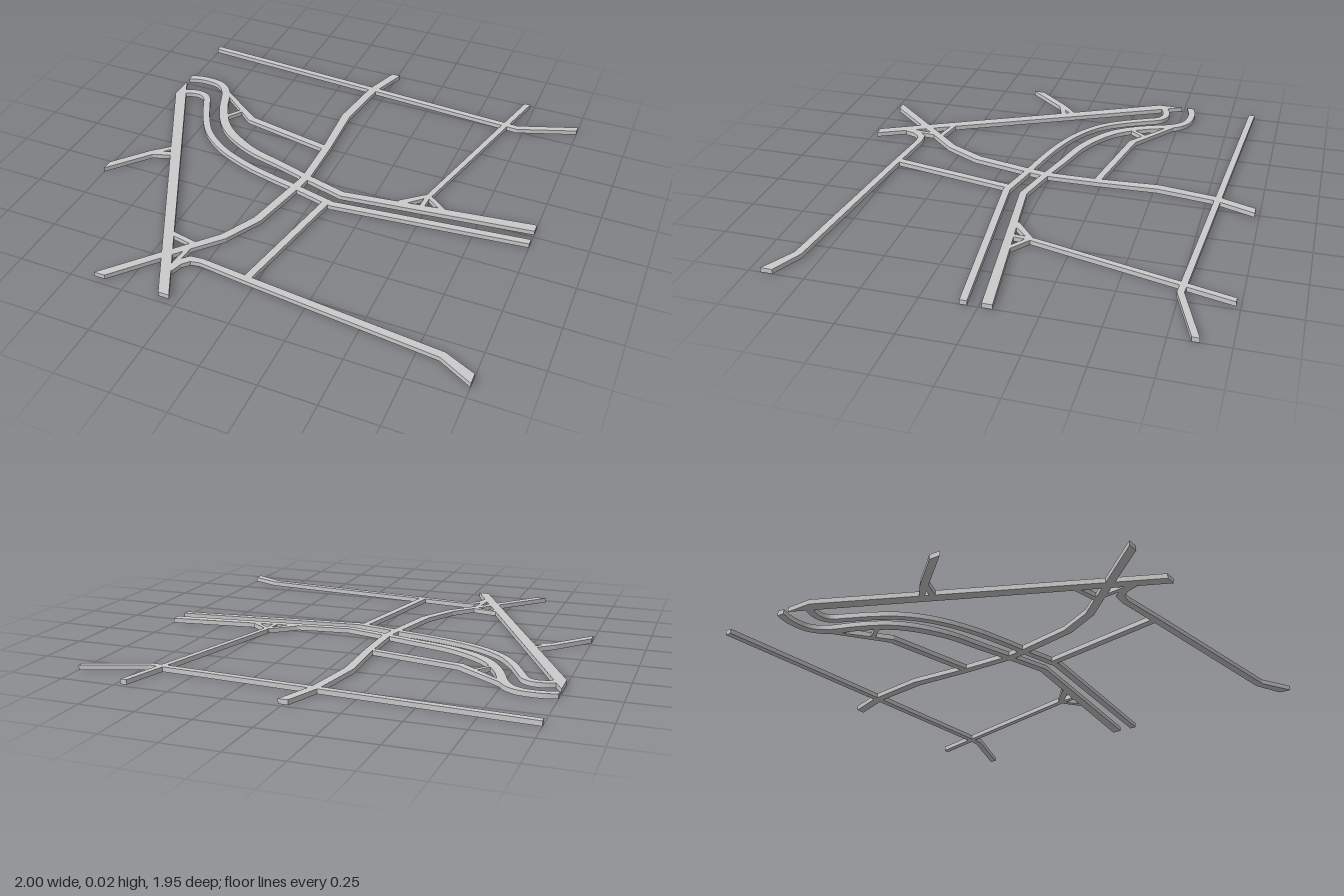
import * as THREE from 'three';

const HEIGHT = 0.022;
// edges of the map tile: [axis, sign, limit]
const BOUNDS = [[0, 1, 1], [0, -1, 1], [1, 1, 0.97], [1, -1, 0.98]];

// Each road: centre line of [x, z, width] points. Ends past the tile are trimmed.
const ROADS = {
  northRoad: [[-1.05, -0.863, 0.03], [0.72, -0.757, 0.03], [1.05, -0.878, 0.03]],
  crossTownRoad: [[0.012, -1.02, 0.042], [-0.065, -0.8, 0.04], [-0.105, -0.52, 0.043], [-0.09, -0.24, 0.038],
    [-0.088, 0.02, 0.038], [-0.105, 0.11, 0.04], [-0.165, 0.385, 0.04], [-0.25, 0.55, 0.038],
    [-0.345, 0.655, 0.036], [-0.66, 1.01, 0.038]],
  northEastRoad: [[0.725, -1.02, 0.028], [0.66, -0.76, 0.028], [0.49, -0.07, 0.026]],
  diagonalRoad: [[-1.05, -0.53, 0.055], [-0.295, 1.01, 0.045]],
  branchRoad: [[-0.76, -0.485, 0.02], [-0.535, -0.312, 0.035], [-0.1, -0.23, 0.032]],
  westSpur: [[-1.04, 0.35, 0.034], [-0.85, 0.13, 0.034], [-0.77, 0.05, 0.02]],
  southRoad: [[-0.365, 0.83, 0.03], [-0.35, 0.775, 0.034], [-0.315, 0.737, 0.034], [-0.265, 0.73, 0.03],
    [-0.04, 0.755, 0.033], [0.855, 0.845, 0.036], [1.05, 0.942, 0.052]],
  southConnector: [[0.07, 0.16, 0.034], [-0.04, 0.75, 0.034]],
  // short slip roads at the junctions
  eastSlipLeft: [[0.487, -0.07, 0.022], [0.38, 0.028, 0.034]],
  eastSlipRight: [[0.487, -0.07, 0.022], [0.585, 0.005, 0.022]],
  eastSlipMiddle: [[0.489, -0.08, 0.022], [0.483, 0.02, 0.022]],
  branchSlip: [[-0.6, -0.37, 0.02], [-0.665, -0.28, 0.02]],
  westSlip: [[-0.86, 0.14, 0.026], [-0.75, 0.1, 0.026]],
  southSlipAcross: [[-0.485, 0.615, 0.024], [-0.345, 0.643, 0.024]],
  southSlipDown: [[-0.352, 0.65, 0.02], [-0.366, 0.81, 0.022]],
};

// Two avenues: a smooth bend followed by a straight run
const AVENUES = {
  upperAvenue: {
    bend: [[-1.03, -0.525, 0.034], [-0.945, -0.55, 0.034], [-0.89, -0.552, 0.034], [-0.835, -0.543, 0.036],
      [-0.785, -0.508, 0.04], [-0.75, -0.45, 0.042], [-0.72, -0.37, 0.042], [-0.675, -0.28, 0.044],
      [-0.625, -0.21, 0.044], [-0.555, -0.15, 0.044], [-0.42, -0.077, 0.04], [-0.235, -0.025, 0.036], [-0.09, 0.018, 0.034]],
    run: [[0.115, 0.072, 0.035], [1.05, -0.044, 0.046]],
  },
  lowerAvenue: {
    bend: [[-0.965, -0.4, 0.034], [-0.92, -0.418, 0.034], [-0.875, -0.42, 0.034], [-0.835, -0.398, 0.034],
      [-0.8, -0.332, 0.034], [-0.745, -0.225, 0.034], [-0.675, -0.125, 0.033], [-0.555, -0.032, 0.032],
      [-0.395, 0.037, 0.032], [-0.235, 0.08, 0.032], [-0.115, 0.105, 0.032]],
    run: [[0.1, 0.157, 0.034], [1.05, 0.056, 0.032]],
  },
};

// Mitred outline of a ribbon around a centre line
function ribbon(line) {
  const left = [], right = [];
  const dir = (a, b) => new THREE.Vector2(b[0] - a[0], b[1] - a[1]).normalize();
  line.forEach((p, i) => {
    const before = i > 0 ? dir(line[i - 1], p) : dir(p, line[1]);
    const after = i < line.length - 1 ? dir(p, line[i + 1]) : before;
    const t = before.clone().add(after).normalize();
    const k = p[2] / 2 / t.dot(after);
    left.push([p[0] - t.y * k, p[1] + t.x * k]);
    right.unshift([p[0] + t.y * k, p[1] - t.x * k]);
  });
  return left.concat(right);
}

// Trim an outline to the tile edges
function trim(outline) {
  return BOUNDS.reduce((poly, [axis, sign, limit]) => {
    const out = [];
    poly.forEach((b, i) => {
      const a = poly[(i + poly.length - 1) % poly.length];
      const da = limit - sign * a[axis], db = limit - sign * b[axis];
      if (da * db < 0) {
        const t = da / (da - db);
        out.push([a[0] + (b[0] - a[0]) * t, a[1] + (b[1] - a[1]) * t]);
      }
      if (db >= 0) out.push(b);
    });
    return out;
  }, outline);
}

export function createModel() {
  const group = new THREE.Group();
  group.name = 'roadNetwork';
  const material = new THREE.MeshStandardMaterial({ color: 0xcccccc, flatShading: true });

  const addRoad = (name, line) => {
    const shape = new THREE.Shape(trim(ribbon(line)).map(([x, z]) => new THREE.Vector2(x, -z)));
    const geometry = new THREE.ExtrudeGeometry(shape, { depth: HEIGHT, bevelEnabled: false });
    geometry.rotateX(-Math.PI / 2);
    const mesh = new THREE.Mesh(geometry, material);
    mesh.name = name;
    group.add(mesh);
  };

  for (const [name, line] of Object.entries(ROADS)) addRoad(name, line);
  for (const [name, { bend, run }] of Object.entries(AVENUES)) {
    const curve = new THREE.CatmullRomCurve3(bend.map((p) => new THREE.Vector3(...p)));
    addRoad(name, curve.getPoints(40).map((p) => p.toArray()).concat(run));
  }
  return group;
}
